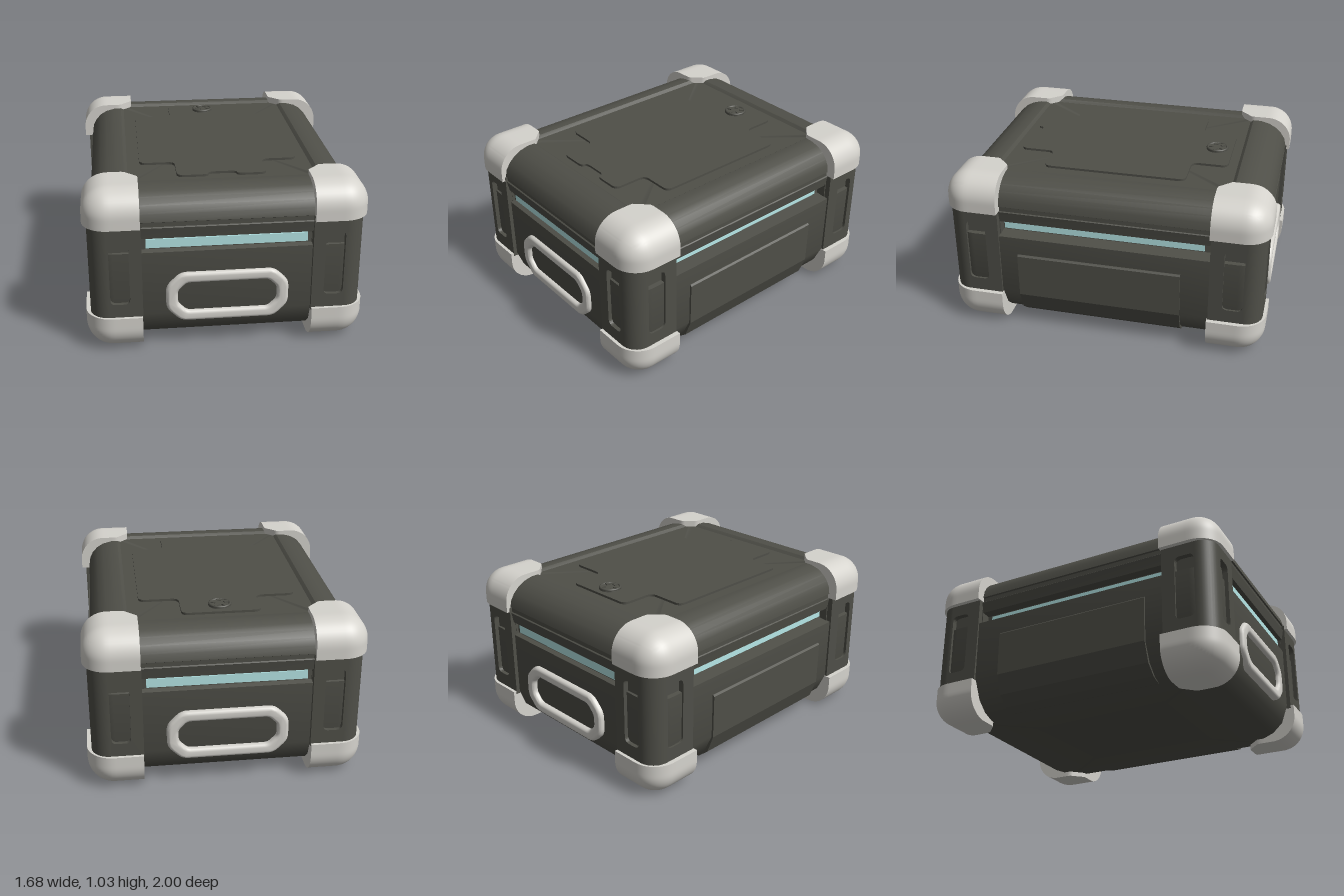
import * as THREE from 'three';
import { toCreasedNormals } from 'three/addons/utils/BufferGeometryUtils.js';

const mat = (name, color) => {
  const m = new THREE.MeshStandardMaterial({ color });
  m.name = name;
  return m;
};

// Closed shape through corner points, each corner rounded by r
function roundedPoly(pts, r, Type = THREE.Shape) {
  const s = new Type();
  const v = pts.map(p => new THREE.Vector2(p[0], p[1]));
  v.forEach((p, i) => {
    const toward = q => p.clone().add(q.clone().sub(p).setLength(Math.min(r, q.distanceTo(p) * 0.45)));
    const a = toward(v[(i + v.length - 1) % v.length]), b = toward(v[(i + 1) % v.length]);
    if (i === 0) s.moveTo(a.x, a.y); else s.lineTo(a.x, a.y);
    s.quadraticCurveTo(p.x, p.y, b.x, b.y);
  });
  s.closePath();
  return s;
}

const rect = (w, h, x = 0) => [[x - w / 2, -h / 2], [x + w / 2, -h / 2], [x + w / 2, h / 2], [x - w / 2, h / 2]];
const octagon = (a, b, c) => [[-a + c, -b], [a - c, -b], [a, -b + c], [a, b - c],
  [a - c, b], [-a + c, b], [-a, b - c], [-a, -b + c]];

// Case shell: rounded-rectangle rings stacked by [height, inset of sides, inset of ends]
function shellGeometry(profile, hx, hz) {
  const pos = [], idx = [], steps = 6, n = 4 * (steps + 1);
  for (const [y, inX, inZ] of profile) {
    const r = Math.max(0.03, 0.14 - Math.min(inX, inZ));
    for (let k = 0; k < 4; k++) for (let i = 0; i <= steps; i++) {
      const t = (k + i / steps) * Math.PI / 2;
      const sx = k === 0 || k === 3 ? 1 : -1, sz = k < 2 ? 1 : -1;
      pos.push(sx * (hx - inX - r) + r * Math.cos(t), y, sz * (hz - inZ - r) + r * Math.sin(t));
    }
  }
  const rows = profile.length, bottom = rows * n, top = bottom + 1;
  pos.push(0, profile[0][0], 0, 0, profile[rows - 1][0], 0);
  for (let i = 0; i < n; i++) {
    const j = (i + 1) % n;
    for (let k = 0; k < rows - 1; k++) {
      const a = k * n + i, b = k * n + j;
      idx.push(a, a + n, b, b, a + n, b + n);
    }
    idx.push(bottom, i, j, top, (rows - 1) * n + j, (rows - 1) * n + i);
  }
  const g = new THREE.BufferGeometry();
  g.setAttribute('position', new THREE.Float32BufferAttribute(pos, 3));
  g.setIndex(idx);
  return toCreasedNormals(g, 0.6);
}

// Corner bumper: a block rounded on its outer corner, mirrored by signs
function bumperGeometry(w, h, d, r, sx, sy, sz) {
  const g = new THREE.BoxGeometry(w, h, d, 14, 14, 14).translate(w / 2, h / 2, d / 2);
  const p = g.attributes.position, core = new THREE.Vector3(w - r, h - r, d - r);
  const v = new THREE.Vector3(), q = new THREE.Vector3();
  for (let i = 0; i < p.count; i++) {
    v.fromBufferAttribute(p, i);
    q.copy(v).min(core);
    v.sub(q);
    const reach = Math.max(v.x, v.y, v.z);
    if (reach > 0) v.setLength(reach);
    v.add(q);
    const cut = Math.max(0, 0.08 - v.x - v.z) / 2;   // chamfered inner corner
    p.setXYZ(i, (v.x + cut) * sx, v.y * sy, (v.z + cut) * sz);
  }
  if (sx * sy * sz < 0) {
    const ix = g.index.array;
    for (let i = 0; i < ix.length; i += 3) [ix[i], ix[i + 1]] = [ix[i + 1], ix[i]];
  }
  return toCreasedNormals(g, 0.7);
}

export function createModel() {
  const model = new THREE.Group();
  model.name = 'storageCase';
  const dark = mat('dark olive grey', 0x4f4f48);
  const pale = mat('pale grey', 0xd5d3cd);
  const glow = mat('pale cyan', 0xc6fbfb);
  const add = (name, geo, material, x = 0, y = 0, z = 0, parent = model) => {
    const m = new THREE.Mesh(geo, material);
    m.name = name;
    m.position.set(x, y, z);
    parent.add(m);
    return m;
  };

  // Shell with lower bevel, light slot, lid seam, broad rolled lid edge and sunken top
  add('caseShell', shellGeometry([
    [0.032, 0.2, 0.2], [0.06, 0.13, 0.13], [0.12, 0.065, 0.065], [0.235, 0.012, 0.022],
    [0.64, 0.008, 0.02], [0.65, 0.095, 0.05], [0.725, 0.095, 0.05], [0.73, 0.038, 0.02],
    [0.8, 0.026, 0.006], [0.805, 0.032, 0.014], [0.833, 0.032, 0.014], [0.838, 0.024, 0.005],
    [0.885, 0.032, 0.016], [0.925, 0.052, 0.042], [0.96, 0.085, 0.08], [0.985, 0.127, 0.125],
    [1.0, 0.185, 0.185], [1.0, 0.23, 0.235], [0.984, 0.25, 0.255],
  ], 0.81, 0.977), dark);

  // Corner posts with a sunken slot on each outer face
  const plate = (w, hw, offset) => {
    const s = roundedPoly(rect(w, 0.62), 0.002);
    s.holes.push(roundedPoly(rect(hw, 0.41, offset), 0.035, THREE.Path));
    return new THREE.ExtrudeGeometry(s, { depth: 0.035, bevelEnabled: false, curveSegments: 6 });
  };
  for (const sx of [-1, 1]) for (const sz of [-1, 1]) {
    const post = new THREE.Group();
    post.name = 'cornerPost';
    model.add(post);
    const quarter = (sx > 0 ? (sz > 0 ? 0 : 1) : (sz > 0 ? 3 : 2)) * Math.PI / 2;
    add('postCore', new THREE.BoxGeometry(0.275, 0.62, 0.295), dark, sx * 0.6375, 0.525, sz * 0.7975, post);
    add('postEdge', new THREE.CylinderGeometry(0.11, 0.11, 0.62, 10, 1, false, quarter, Math.PI / 2),
      dark, sx * 0.702, 0.525, sz * 0.87, post);
    const front = add('postFrontPlate', plate(0.2, 0.117, sx * sz * 0.032), dark,
      sx * 0.602, 0.525, sz * 0.945, post);
    front.rotation.y = sz > 0 ? 0 : Math.PI;
    const side = add('postSidePlate', plate(0.215, 0.123, -sx * sz * 0.038), dark,
      sx * 0.777, 0.525, sz * 0.7625, post);
    side.rotation.y = sx * Math.PI / 2;

    // Bumpers
    add('lowerBumper', bumperGeometry(0.335, 0.235, 0.35, 0.16, sx, -1, sz), pale, sx * 0.505, 0.235, sz * 0.65);
    add('upperBumper', bumperGeometry(0.335, 0.22, 0.35, 0.155, sx, 1, sz), pale, sx * 0.505, 0.807, sz * 0.65);
  }

  // Octagonal handles and light strips, front and back
  const ring = roundedPoly(octagon(0.345, 0.14, 0.075), 0.03);
  ring.holes.push(roundedPoly(octagon(0.315, 0.113, 0.065), 0.03, THREE.Path));
  const handleGeo = toCreasedNormals(new THREE.ExtrudeGeometry(ring, {
    depth: 0.025, bevelSize: 0.02, bevelThickness: 0.025, bevelSegments: 4, curveSegments: 4,
  }), 0.6);
  for (const s of [1, -1]) {
    const h = add('handle', handleGeo, pale, 0, 0.345, s > 0 ? 0.932 : -0.938);
    h.rotation.y = s > 0 ? 0 : Math.PI;
    add('endLight', new THREE.BoxGeometry(0.95, 0.056, 0.04), glow, 0, 0.687, s * 0.915);
    add('sideLight', new THREE.BoxGeometry(0.04, 0.05, 1.25), glow, s * 0.708, 0.687, 0.015);

    // Side door that wraps the lower bevel
    const door = [[0.6, 0.036], [0.63, 0.036], [0.697, 0.056], [0.765, 0.115], [0.81, 0.235],
      [0.814, 0.515], [0.804, 0.525], [0.7, 0.525]].map(([x, y]) => new THREE.Vector2(s * x, y));
    add('sideDoor', new THREE.ExtrudeGeometry(new THREE.Shape(door), { depth: 1.02, bevelEnabled: false }),
      dark, 0, 0, -0.48);
  }

  // Stepped hatch on the lid
  const hatch = roundedPoly([
    [-0.24, -0.665], [0.24, -0.665], [0.24, -0.44], [0.485, -0.44], [0.485, 0.45], [0.27, 0.45],
    [0.27, 0.67], [0.09, 0.67], [0.09, 0.63], [-0.08, 0.63], [-0.08, 0.67], [-0.27, 0.67],
    [-0.27, 0.45], [-0.485, 0.45], [-0.485, -0.44], [-0.24, -0.44],
  ], 0.045);
  add('lidHatch', new THREE.ExtrudeGeometry(hatch, { depth: 0.03, bevelEnabled: false, curveSegments: 5 })
    .rotateX(Math.PI / 2), dark, 0, 0.998, 0);

  // Round latch with raised rim and ribs
  const latch = new THREE.Group();
  latch.name = 'latch';
  latch.position.set(0, 0.998, -0.565);
  model.add(latch);
  add('latchDisc', new THREE.CylinderGeometry(0.068, 0.072, 0.022, 32), dark, 0, 0, 0, latch);
  add('latchRim', new THREE.TorusGeometry(0.062, 0.008, 8, 32).rotateX(Math.PI / 2), dark, 0, 0.01, 0, latch);
  for (let i = 0; i < 5; i++) {
    const a = i * Math.PI * 2 / 5;
    const rib = add('latchRib', new THREE.BoxGeometry(0.024, 0.012, 0.03), dark,
      Math.sin(a) * 0.042, 0.011, Math.cos(a) * 0.042, latch);
    rib.rotation.y = a;
  }
  return model;
}
